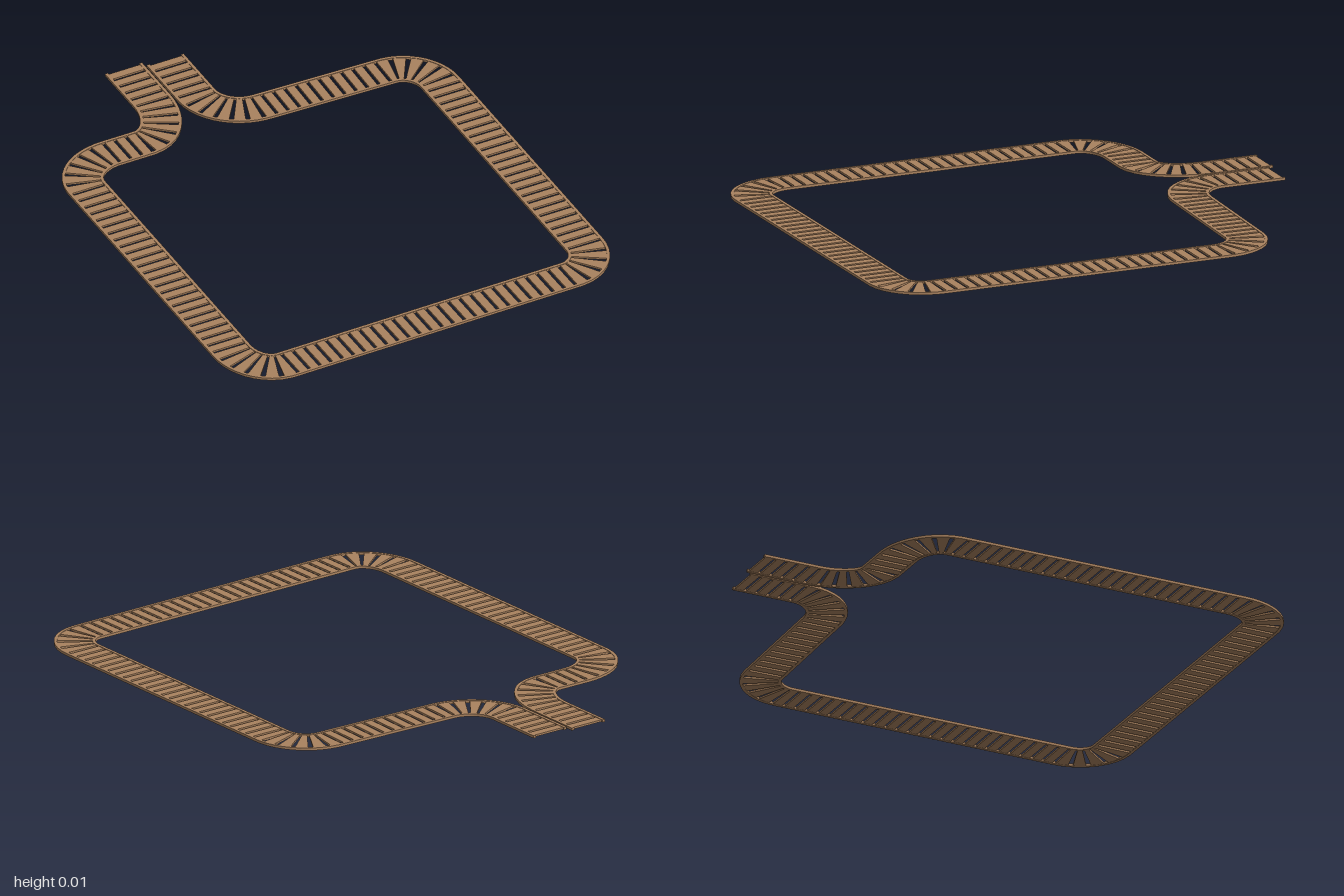
import * as THREE from 'three';
import { mergeGeometries } from 'three/addons/utils/BufferGeometryUtils.js';

const HALF = 0.0775;   // half the track width
const RAIL = 0.012;    // width of each edge rail
const PITCH = 0.0465;  // distance between slats
const FILL = 0.72;     // share of the pitch taken by a slat

// Corners of the centre line [x, z, rounding before, rounding after]
const CORNERS = [
  [-0.267, -1.0, 0, 0],
  [-0.267, -0.555, 0.22, 0.15],
  [-0.733, -0.555, 0.18, 0.15],
  [-0.733, 0.921, 0.17, 0.14],
  [0.731, 0.907, 0.13, 0.14],
  [0.731, -0.533, 0.15, 0.14],
  [-0.105, -0.56, 0.18, 0.17],
  [-0.105, -0.978, 0, 0],
];

// Straight runs joined by rounded bends
function centreLine() {
  const path = new THREE.CurvePath();
  const pts = CORNERS.map(([x, z]) => new THREE.Vector3(x, 0, z));
  const toward = (from, to, d) => to.clone().sub(from).setLength(d).add(from);
  let last = pts[0];
  for (let i = 1; i < pts.length - 1; i++) {
    const [, , before, after] = CORNERS[i];
    const a = toward(pts[i], pts[i - 1], before);
    const b = toward(pts[i], pts[i + 1], after);
    path.add(new THREE.LineCurve3(last, a));
    path.add(new THREE.CubicBezierCurve3(a, a.clone().lerp(pts[i], 0.55), b.clone().lerp(pts[i], 0.55), b));
    last = b;
  }
  path.add(new THREE.LineCurve3(last, pts[pts.length - 1]));
  return path;
}

// Solid bar following the path through the given stations, from side offset a to b
function bar(path, stations, a, b, y0, y1) {
  const rings = stations.map((s) => {
    const p = path.getPoint(s);
    const t = path.getTangent(s);
    const at = (o, y) => [p.x - t.z * o, y, p.z + t.x * o];
    return [at(a, y0), at(b, y0), at(b, y1), at(a, y1)];
  });
  const pos = [];
  const quad = (p, q, r, s) => pos.push(...p, ...q, ...r, ...p, ...r, ...s);
  for (let i = 0; i < rings.length - 1; i++) {
    const A = rings[i], B = rings[i + 1];
    for (let k = 0; k < 4; k++) {
      const n = (k + 1) % 4;
      quad(A[k], B[k], B[n], A[n]);
    }
  }
  const end = rings[rings.length - 1];
  quad(...rings[0]);
  quad(end[3], end[2], end[1], end[0]);
  const g = new THREE.BufferGeometry();
  g.setAttribute('position', new THREE.Float32BufferAttribute(pos, 3));
  g.computeVertexNormals();
  return g;
}

export function createModel() {
  const model = new THREE.Group();
  model.name = 'boardwalkTrack';
  const wood = new THREE.MeshStandardMaterial({ color: 0xa9825f });
  wood.name = 'wood';
  const path = centreLine();
  const count = Math.round(path.getLength() / PITCH);

  const add = (name, geometry) => {
    const mesh = new THREE.Mesh(geometry, wood);
    mesh.name = name;
    model.add(mesh);
  };

  // Continuous rails along both edges
  const stations = Array.from({ length: count * 2 + 1 }, (_, i) => i / (count * 2));
  add('innerRail', bar(path, stations, -HALF, -HALF + RAIL, 0, 0.01));
  add('outerRail', bar(path, stations, HALF - RAIL, HALF, 0, 0.01));

  // Cross slats, wedge-shaped in the bends
  const slats = [];
  const inset = HALF - RAIL + 0.002;
  for (let i = 0; i < count; i++) {
    const s = (i + (1 - FILL) / 2) / count;
    slats.push(bar(path, [s, s + FILL / count], -inset, inset, 0.001, 0.0085));
  }
  add('slats', mergeGeometries(slats));
  return model;
}
